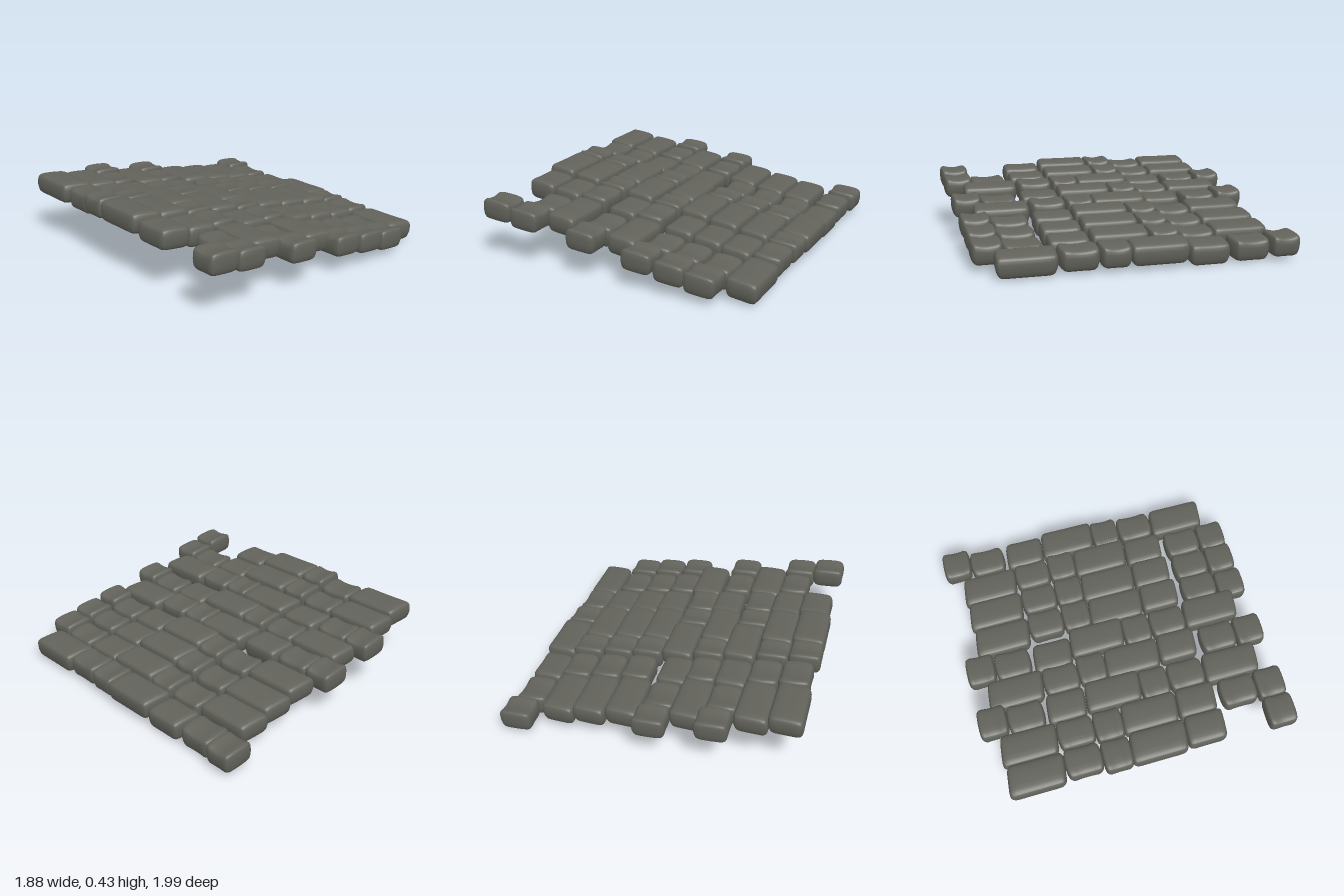
import * as THREE from 'three';
import { mergeVertices } from 'three/addons/utils/BufferGeometryUtils.js';

// Stone kinds: size, skew of the ends, waist pinch, bulge of the ends, raised ends of the top
const KINDS = {
  L: { name: 'longStone', w: 0.214, d: 0.368, skew: 0.11, waist: 0.01, bulge: 0.01, saddle: 0.003 },
  M: { name: 'mediumStone', w: 0.209, d: 0.26, skew: 0.09, waist: 0.02, bulge: 0.02, saddle: 0.006 },
  A: { name: 'pinchedStone', w: 0.206, d: 0.245, skew: 0, waist: 0.07, bulge: 0.13, saddle: 0.018 },
  B: { name: 'squareStone', w: 0.215, d: 0.192, skew: 0.02, waist: 0.05, bulge: 0.07, saddle: 0.024 },
};
const HEIGHT = 0.132;

// Rounded block with grid lines gathered at the edges, then bent into a worn stone
function stoneGeometry({ w, d, skew, waist, bulge, saddle }) {
  const box = new THREE.BoxGeometry(2, 2, 2, 10, 8, 12);
  box.deleteAttribute('normal');
  box.deleteAttribute('uv');
  const geo = mergeVertices(box);
  const pos = geo.attributes.position;
  const half = new THREE.Vector3(w / 2, HEIGHT / 2, d / 2);
  const radius = 0.038;
  const core = half.clone().subScalar(radius);
  const coreMin = core.clone().negate();
  const ease = (t) => Math.sin((t * Math.PI) / 2);
  const p = new THREE.Vector3(), inner = new THREE.Vector3();
  for (let i = 0; i < pos.count; i++) {
    p.fromBufferAttribute(pos, i);
    p.set(ease(p.x), ease(p.y), ease(p.z)).multiply(half);
    inner.copy(p).clamp(coreMin, core);
    p.sub(inner).setLength(radius).add(inner);
    const u = p.x / half.x, v = p.y / half.y, s = p.z / half.z;
    // narrower underside, pinched sides, rounded ends, slightly narrower front
    const taper = 1 - 0.08 * Math.max(0, -v);
    p.x *= taper * (1 - waist * (1 - s * s)) * (1 - 0.015 * s);
    p.z *= taper * (1 - bulge * u * u);
    // skewed ends
    p.z += skew * p.x;
    // saddle on the top, slightly crowned across
    if (v > 0) p.y += v * (saddle * (s * s - 0.4) + 0.006 * (1 - u * u));
    pos.setXYZ(i, p.x, p.y, p.z);
  }
  geo.computeVertexNormals();
  return geo;
}

// Two laying patterns, from back to front: kind, z centre and height above the slope
const P = [
  ['L', -0.713, 0.002], ['A', -0.407, -0.008], ['B', -0.195, 0.017], ['L', 0.08, 0.017],
  ['M', 0.397, -0.008], ['A', 0.682, -0.028], ['B', 0.893, -0.008],
];
const Q = [
  ['B', -0.905, 0.018], ['A', -0.69, -0.004], ['M', -0.42, -0.01], ['L', -0.105, 0.017],
  ['B', 0.17, 0.012], ['A', 0.387, 0.004], ['L', 0.695, -0.006],
];

// Columns from right to left of the model: pattern and x centre of each stone
const COLUMNS = [
  [P, [-0.83, -0.815, -0.838, -0.833, -0.815, null, -0.833]],
  [P, [-0.625, -0.62, -0.635, -0.63, -0.62, -0.625, -0.633]],
  [Q, [-0.41, -0.43, -0.425, -0.42, -0.433, -0.43, -0.43]],
  [P, [-0.235, -0.23, -0.22, -0.225, -0.205, -0.215, -0.225]],
  [Q, [-0.028, -0.038, -0.048, -0.01, -0.023, -0.02, -0.003]],
  [P, [0.173, 0.203, 0.195, 0.178, 0.198, 0.193, 0.155]],
  [P, [0.385, 0.405, 0.398, 0.383, 0.393, 0.38, 0.368]],
  [P, [0.588, 0.608, 0.608, 0.593, 0.585, 0.575, 0.563]],
  [Q, [0.83, 0.803, 0.8, 0.803, 0.79, 0.78, 0.778]],
];

export function createModel() {
  const model = new THREE.Group();
  model.name = 'slopedPaving';
  const stone = new THREE.MeshStandardMaterial({ color: 0x62625b });
  stone.name = 'darkGreyStone';

  const geometries = {};
  for (const kind in KINDS) geometries[kind] = stoneGeometry(KINDS[kind]);

  // Lay every column down the slope
  COLUMNS.forEach(([pattern, xs], c) => {
    const column = new THREE.Group();
    column.name = `stoneColumn${c + 1}`;
    pattern.forEach(([kind, z, lift], r) => {
      const x = xs[r];
      if (x === null) return;
      const mesh = new THREE.Mesh(geometries[kind], stone);
      mesh.name = KINDS[kind].name;
      mesh.position.set(x, 0.209 - 0.157 * x + lift, z);
      mesh.rotation.z = -0.07;
      column.add(mesh);
    });
    model.add(column);
  });
  return model;
}
